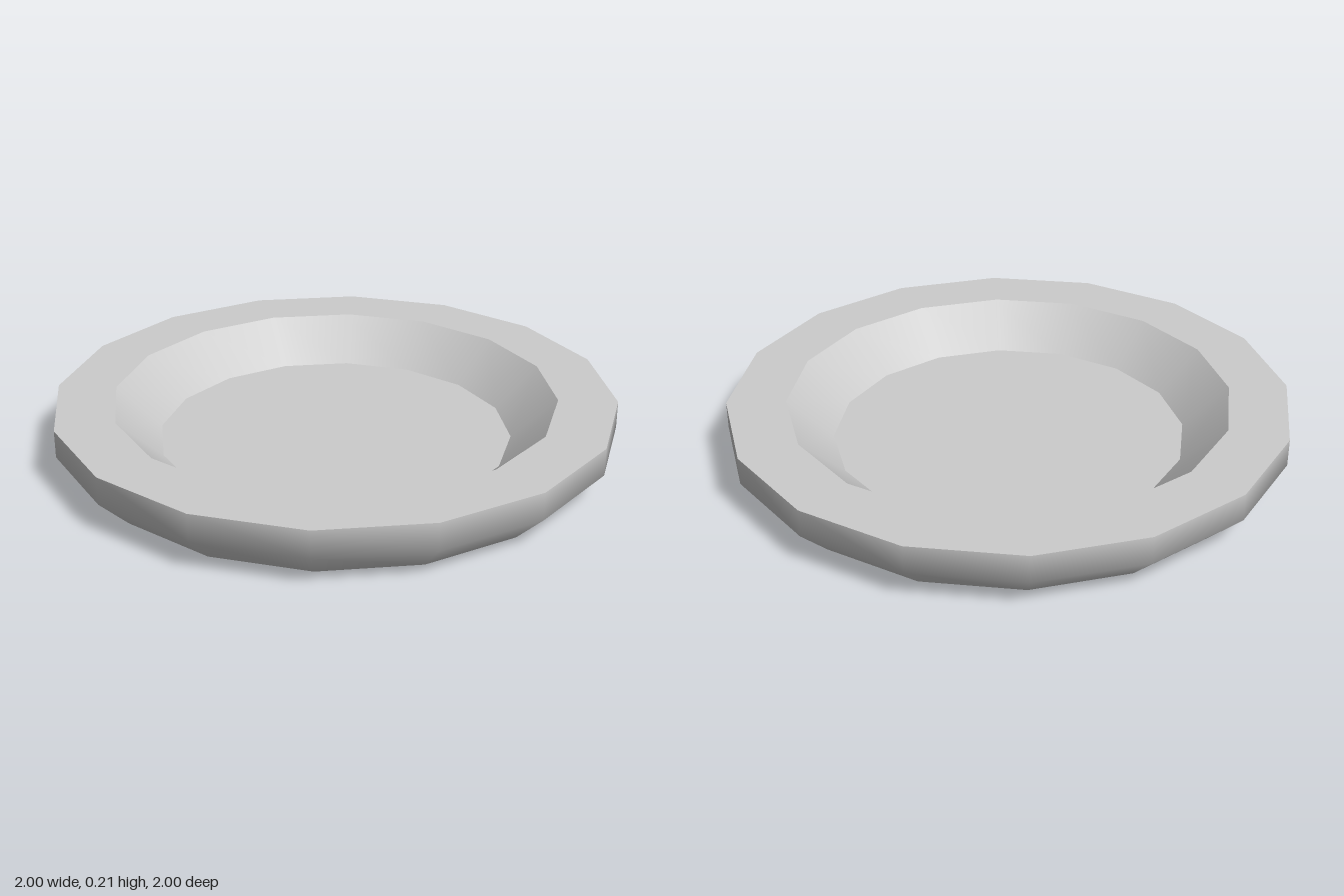
import * as THREE from 'three';

const SIDES = 16;
const CORNER = 1 / Math.cos(Math.PI / SIDES); // flat-to-flat radius -> corner radius

export function createModel() {
  const group = new THREE.Group();
  group.name = 'dish';
  const material = new THREE.MeshStandardMaterial({ color: 0xcccccc });

  // One smooth band of the dish; bands meet at sharp edges
  function band(name, profile) {
    const points = profile.map(([r, y]) => new THREE.Vector2(r * CORNER, y));
    const geometry = new THREE.LatheGeometry(points, SIDES, Math.PI / SIDES);
    const mesh = new THREE.Mesh(geometry, material);
    mesh.name = name;
    group.add(mesh);
  }

  // Profile runs from the underside, round the rim and into the recess
  band('underside', [[0, 0], [0.89, 0]]);
  band('outerWall', [[0.89, 0], [1, 0.11], [1, 0.21]]);
  band('rim', [[1, 0.21], [0.79, 0.21]]);
  band('innerWall', [[0.79, 0.21], [0.63, 0.06]]);
  band('floor', [[0.63, 0.06], [0, 0.06]]);

  return group;
}
